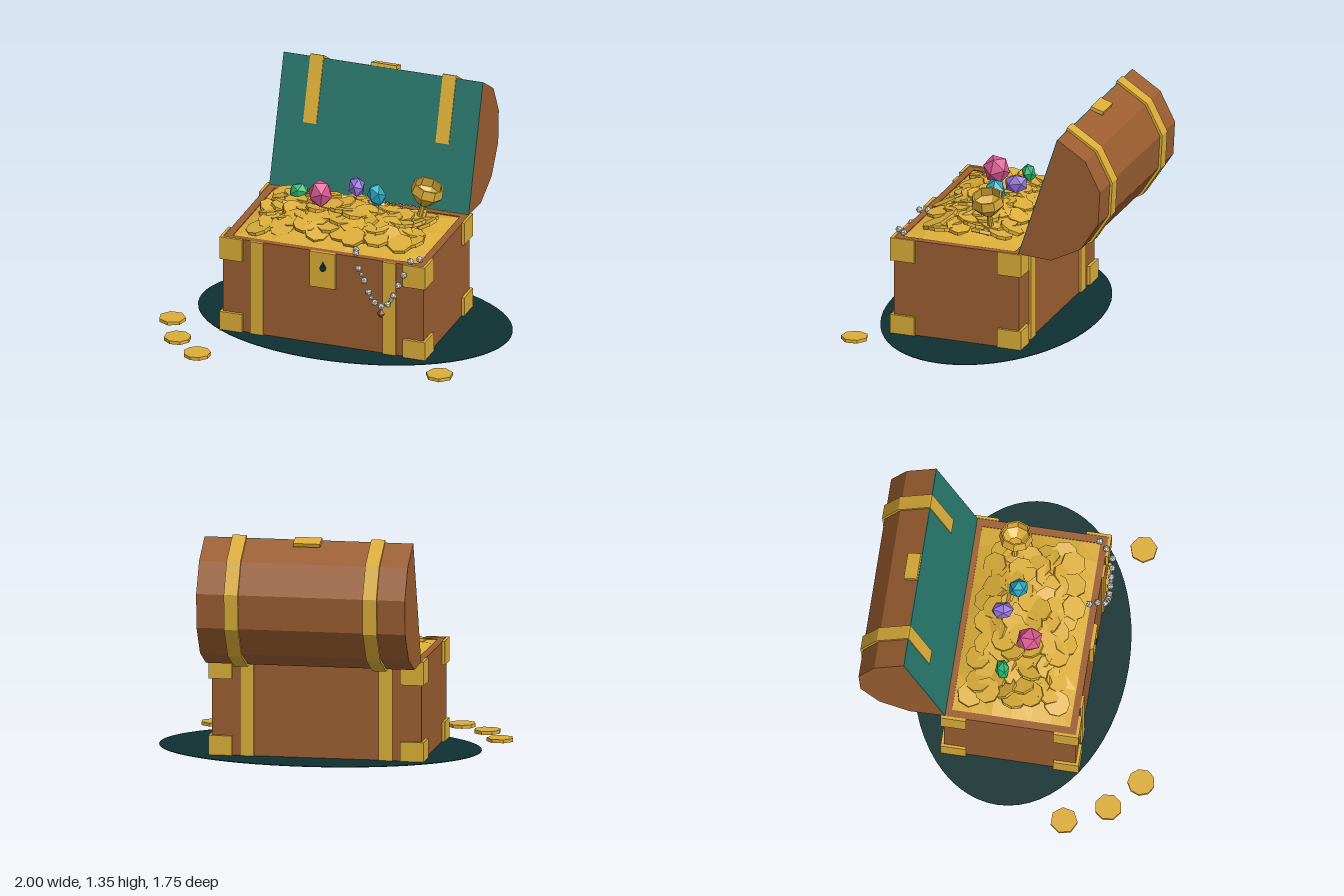
import * as THREE from 'three';

const material = (name, color) => {
  const m = new THREE.MeshStandardMaterial({ color });
  m.name = name;
  return m;
};

export function createModel() {
  const wood = material('wood', 0x9c5e31);
  const gold = material('gold', 0xdbad39);
  const teal = material('teal lining', 0x277468);
  const dark = material('dark teal', 0x0e3031);
  const pearl = material('pearl', 0xe2dfd8);
  const amber = material('amber', 0x8a4a20);
  const pink = material('pink gem', 0xd8588f);
  const green = material('green gem', 0x27b870);
  const purple = material('purple gem', 0x8f6fd6);
  const cyan = material('cyan gem', 0x27a9c4);

  const root = new THREE.Group();
  root.name = 'treasureChest';

  // Every facet gets its own normal
  const flat = (geo) => {
    const g = geo.index ? geo.toNonIndexed() : geo;
    g.computeVertexNormals();
    return g;
  };
  const add = (parent, name, geo, mat, x = 0, y = 0, z = 0) => {
    const mesh = new THREE.Mesh(geo, mat);
    mesh.name = name;
    mesh.position.set(x, y, z);
    parent.add(mesh);
    return mesh;
  };
  const box = (parent, name, mat, w, h, d, x, y, z) =>
    add(parent, name, new THREE.BoxGeometry(w, h, d), mat, x, y, z);
  const group = (name, x, y, z) => {
    const g = new THREE.Group();
    g.name = name;
    g.position.set(x, y, z);
    root.add(g);
    return g;
  };

  // Small seeded generator
  let seed = 7;
  const rnd = () => (seed = (seed * 16807) % 2147483647) / 2147483647;

  // Ground disc
  const disc = new THREE.CylinderGeometry(0.94, 0.94, 0.004, 64);
  disc.scale(1, 1, 0.66);
  add(root, 'groundDisc', disc, dark, 0.06, 0.005, -0.01);

  // Chest body: four walls and a floor
  const W = 1.23, H = 0.59, D = 0.77;
  const chest = group('chestBody', 0.015, 0, 0.02);
  for (const s of [-1, 1]) {
    box(chest, 'endWall', wood, 0.045, H, D, s * (W / 2 - 0.0225), H / 2, 0);
    box(chest, 'longWall', wood, W - 0.09, H, 0.04, 0, H / 2, s * (D / 2 - 0.02));
  }
  box(chest, 'floor', wood, W - 0.09, 0.04, D - 0.08, 0, 0.02, 0);

  // Straps and corner plates
  for (const sx of [-1, 1]) {
    for (const sz of [-1, 1]) {
      box(chest, 'bodyStrap', gold, 0.08, H, 0.012, sx * 0.407, H / 2, sz * (D / 2 + 0.006));
      for (const [y, h] of [[0.0605, 0.121], [0.525, 0.14]]) {
        box(chest, 'cornerPlateFace', gold, 0.137, h, 0.018,
          sx * (W / 2 + 0.016 - 0.0685), y, sz * (D / 2 + 0.009));
        box(chest, 'cornerPlateSide', gold, 0.016, h, 0.13,
          sx * (W / 2 + 0.008), y, sz * (D / 2 - 0.065));
      }
    }
  }

  // Lock plate and keyhole
  box(chest, 'lockPlate', gold, 0.157, 0.222, 0.02, 0, 0.482, D / 2 + 0.01);
  const hole = new THREE.Shape([[0, 0.035], [-0.014, 0.01], [-0.02, -0.007], [-0.011, -0.022],
    [0, -0.028], [0.011, -0.022], [0.02, -0.007], [0.014, 0.01]].map((p) => new THREE.Vector2(...p)));
  add(chest, 'keyhole', new THREE.ExtrudeGeometry(hole, { depth: 0.008, bevelEnabled: false }),
    dark, 0.005, 0.502, D / 2 + 0.02);

  // Lid: half of a twelve-sided barrel, tipped open
  const lid = group('lid', 0.015, 0.96, -0.485);
  lid.rotation.x = -0.315;
  const arc = (r) => Array.from({ length: 7 }, (_, i) =>
    new THREE.Vector2(r * Math.sin(i * Math.PI / 6), r * Math.cos(i * Math.PI / 6)));
  const across = (points, width) => {
    const g = new THREE.ExtrudeGeometry(new THREE.Shape(points), { depth: width, bevelEnabled: false });
    g.translate(0, 0, -width / 2);
    return g.rotateY(Math.PI / 2);
  };
  add(lid, 'lidShell', across(arc(0.387), W - 0.005), wood);
  box(lid, 'lidLining', teal, W - 0.005, 0.774, 0.006, 0, 0, 0.003);
  for (const s of [-1, 1]) {
    add(lid, 'lidStrap', across([...arc(0.402), ...arc(0.38).reverse()], 0.082), gold, s * 0.407);
    box(lid, 'liningStrap', gold, 0.082, 0.402, 0.012, s * 0.407, 0.201, 0.006);
  }
  box(lid, 'lidClasp', gold, 0.158, 0.022, 0.08, 0, 0.395, -0.036);

  // Heap of gold
  const cx = 0.015, cz = 0.02;
  const heapHeight = (x, z) =>
    0.585 + 0.1 * Math.max(0, 1 - (x / 0.57) ** 2) * Math.max(0, 1 - (z / 0.345) ** 2);
  const heap = new THREE.PlaneGeometry(1.14, 0.69, 10, 6).rotateX(-Math.PI / 2);
  const hp = heap.attributes.position;
  for (let i = 0; i < hp.count; i++) {
    const h = heapHeight(hp.getX(i), hp.getZ(i));
    hp.setY(i, h + (h > 0.59 ? (rnd() - 0.5) * 0.02 : 0));
  }
  add(root, 'goldHeap', flat(heap), gold, cx, 0, cz);

  // Coins scattered over the heap, leaning with its slope
  const coinGeos = [7, 8, 9].map((n) =>
    flat(new THREE.CylinderGeometry(0.075, 0.075, 0.02, n)));
  const coins = group('heapCoins', cx, 0, cz);
  for (let i = 0; i < 70; i++) {
    const x = (((i * 0.618) % 1) - 0.5) * 0.94;
    const z = ((i + 0.5) / 70 - 0.5) * 0.52;
    const c = add(coins, 'coin', coinGeos[i % 3], gold, x, heapHeight(x, z) + 0.008 + rnd() * 0.016, z);
    const slopeX = (heapHeight(x + 0.01, z) - heapHeight(x - 0.01, z)) / 0.02;
    const slopeZ = (heapHeight(x, z + 0.01) - heapHeight(x, z - 0.01)) / 0.02;
    c.rotation.set(-slopeZ + (rnd() - 0.5) * 0.45, rnd() * 6, slopeX + (rnd() - 0.5) * 0.45);
  }

  // Coins on the ground
  [[-0.92, 0.385], [-0.8, 0.625], [-0.62, 0.79], [0.795, 0.585]].forEach(([x, z], i) => {
    const c = add(root, 'groundCoin', coinGeos[i % 3], gold, x, 0.011, z);
    c.scale.set(1.06, 1, 1.06);
    c.rotation.y = i * 1.3;
  });

  // Gems
  const gemGeo = new THREE.IcosahedronGeometry(1, 0);
  [
    ['greenGem', green, [-0.31, 0.72, -0.07], [0.06, 0.056, 0.042], [0.2, 0.3, 0.1]],
    ['pinkGem', pink, [-0.13, 0.79, 0.06], [0.074, 0.088, 0.08], [0.3, 0.4, -0.15]],
    ['purpleGem', purple, [0.027, 0.78, -0.12], [0.05, 0.06, 0.072], [0.1, 0.2, 0.2]],
    ['cyanGem', cyan, [0.175, 0.78, -0.05], [0.056, 0.078, 0.06], [0.2, 0.7, 0.1]],
  ].forEach(([name, mat, pos, size, turn]) => {
    const gem = add(root, name, gemGeo, mat, ...pos);
    gem.scale.set(...size);
    gem.rotation.set(...turn);
  });

  // Leaning goblet, hollow bowl
  const cup = [[0, 0], [0.062, 0], [0.06, 0.014], [0.018, 0.03], [0.016, 0.1], [0.05, 0.125],
    [0.098, 0.185], [0.09, 0.24], [0.08, 0.24], [0.085, 0.185], [0.04, 0.14], [0, 0.135]];
  const goblet = add(root, 'goblet',
    flat(new THREE.LatheGeometry(cup.map((p) => new THREE.Vector2(...p)), 8)), gold, 0.41, 0.635, -0.11);
  goblet.rotation.z = -0.28;

  // Pearl necklace draped over the front rim
  const pearls = group('necklace', 0, 0, 0);
  const beadGeo = new THREE.IcosahedronGeometry(0.021, 0);
  [[0.2, 0.615, 0.36], [0.215, 0.615, 0.405], [0.245, 0.54, 0.445], [0.282, 0.47, 0.447],
    [0.308, 0.4, 0.447], [0.345, 0.34, 0.447], [0.385, 0.322, 0.447], [0.425, 0.34, 0.447],
    [0.46, 0.4, 0.447], [0.49, 0.47, 0.447], [0.523, 0.54, 0.445], [0.55, 0.615, 0.405],
    [0.59, 0.615, 0.36], [0.265, 0.505, 0.447], [0.324, 0.366, 0.447], [0.445, 0.37, 0.447]]
    .forEach(([x, y, z], i) => {
      const b = add(pearls, 'pearl', beadGeo, pearl, x, y, z);
      b.scale.setScalar(i > 12 ? 0.7 : 1);
      b.rotation.set(i, i * 2, 0);
    });
  const pendant = add(pearls, 'pendant', new THREE.OctahedronGeometry(0.026, 0), amber, 0.385, 0.277, 0.45);
  pendant.scale.y = 1.2;

  return root;
}
